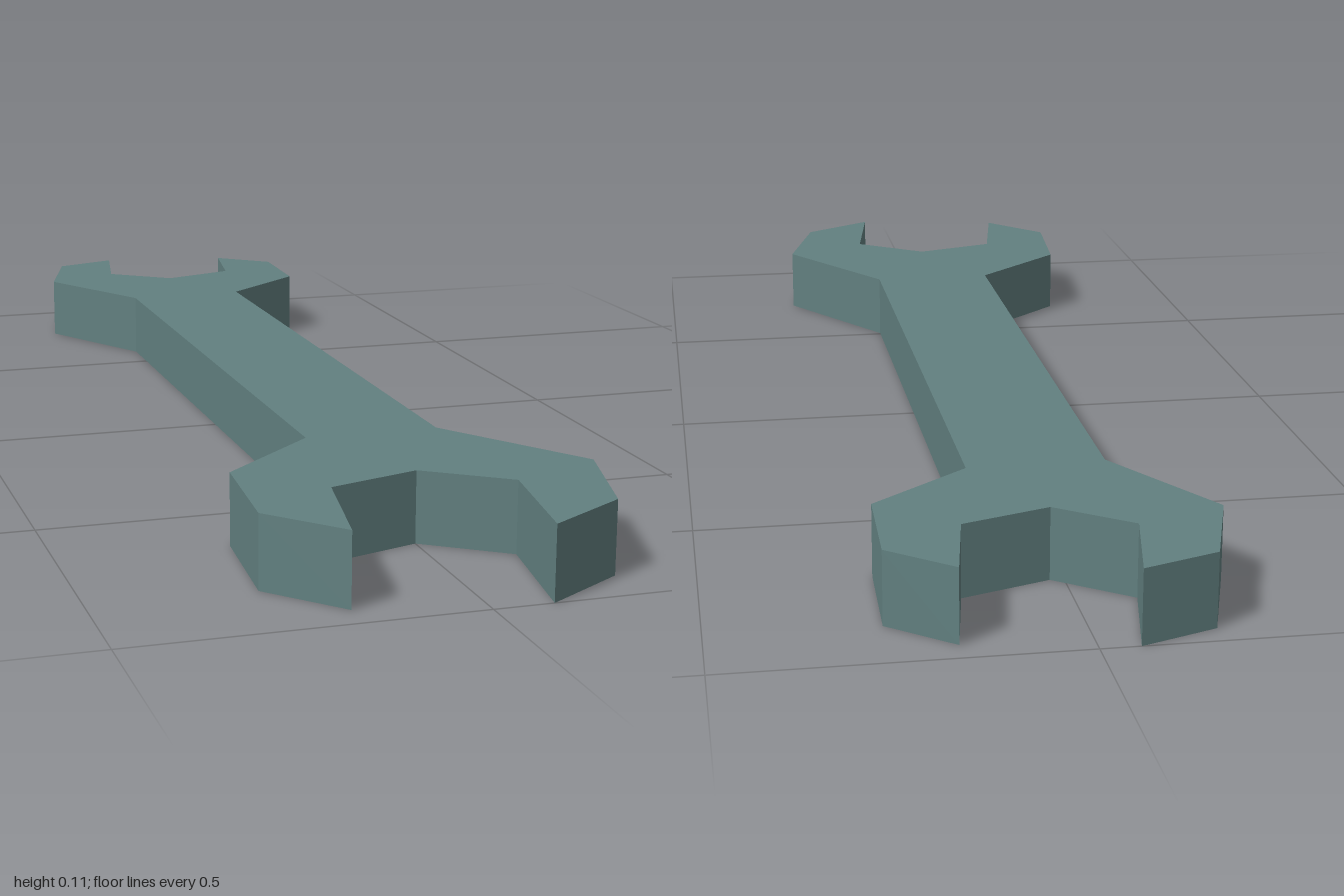
import * as THREE from 'three';

export function createModel() {
  const group = new THREE.Group();
  group.name = 'openEndedWrench';
  const steel = new THREE.MeshStandardMaterial({ color: 0x628080, flatShading: true });
  steel.name = 'tealSteel';

  // Jaw outlines as [x, z], ordered around the whole tool
  const backJaw = [
    [-0.095, -0.585], [-0.215, -0.795], [-0.165, -0.96], [-0.055, -1],
    [-0.085, -0.845], [0.02, -0.765], [0.15, -0.81], [0.175, -0.96],
    [0.265, -0.885], [0.26, -0.715], [0.11, -0.59],
  ];
  const frontJaw = [
    [0.11, 0.505], [0.26, 0.735], [0.208, 0.922], [0.085, 1],
    [0.117, 0.8], [0, 0.715], [-0.14, 0.76], [-0.175, 0.95],
    [-0.268, 0.845], [-0.252, 0.65], [-0.095, 0.505],
  ];

  // The straight shank is formed by the two edges joining the jaws
  const outline = [...backJaw, ...frontJaw].map(([x, z]) => new THREE.Vector2(x, -z));
  const body = new THREE.ExtrudeGeometry(new THREE.Shape(outline), { depth: 0.107, bevelEnabled: false });
  body.rotateX(-Math.PI / 2);

  const wrench = new THREE.Mesh(body, steel);
  wrench.name = 'shankAndJaws';
  group.add(wrench);
  return group;
}
